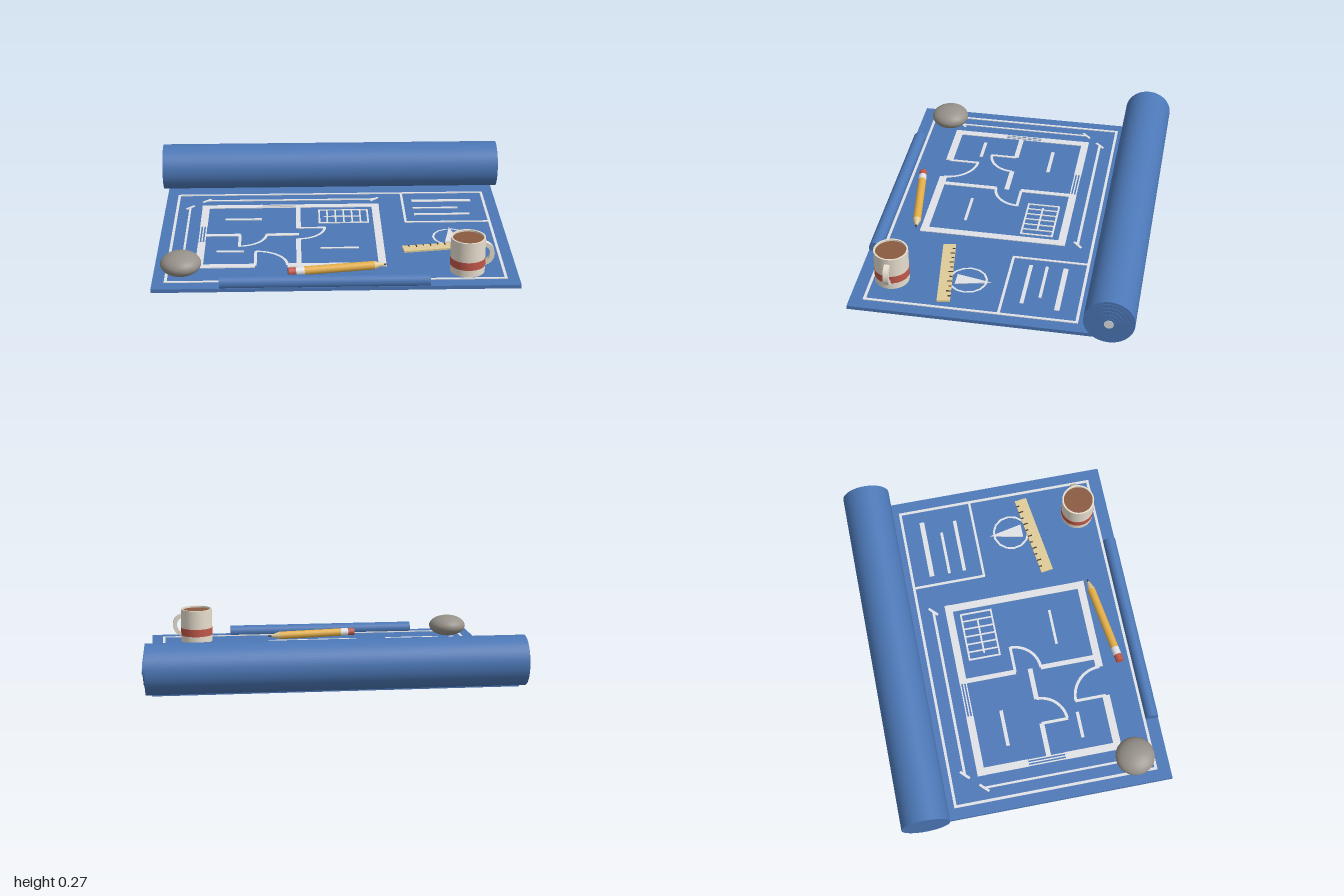
import * as THREE from 'three';

const mat = (name, color) => {
  const m = new THREE.MeshStandardMaterial({ color });
  m.name = name;
  return m;
};

export function createModel() {
  const blue = mat('blueprint blue', 0x4c78b7);
  const white = mat('line white', 0xeff1f6);
  const cream = mat('mug cream', 0xe9e0d0);
  const red = mat('red', 0xc0584a);
  const brown = mat('coffee brown', 0x8a5a40);
  const grey = mat('stone grey', 0x97928a);
  const yellow = mat('pencil yellow', 0xe3ae48);
  const tan = mat('wood tan', 0xe0cc98);
  const dark = mat('dark brown', 0x4a3a2c);

  const model = new THREE.Group();
  model.name = 'blueprint';
  const add = (name, geo, material, x = 0, y = 0, z = 0, parent = model) => {
    const m = new THREE.Mesh(geo, material);
    m.name = name;
    m.position.set(x, y, z);
    parent.add(m);
    return m;
  };
  const group = (name, x, y, z) => {
    const g = new THREE.Group();
    g.name = name;
    g.position.set(x, y, z);
    model.add(g);
    return g;
  };
  // cylinder lying along x, from x0 to x1 (r0 at x0, r1 at x1)
  const rod = (x0, x1, r0, r1 = r0, sides = 48) =>
    new THREE.CylinderGeometry(r1, r0, x1 - x0, sides).rotateZ(-Math.PI / 2).translate((x0 + x1) / 2, 0, 0);

  // Paper sheet, with its rolled back end and small curled front edge
  const TOP = 0.02;
  add('sheet', new THREE.BoxGeometry(1.92, TOP, 1.405), blue, -0.01, TOP / 2, 0.0525);
  const roll = group('paperRoll', 0, 0.136, -0.621);
  add('rollBody', rod(-1, 0.982, 0.1325, 0.1325, 64), blue, 0, 0, 0, roll);
  for (let i = 0; i < 5; i++) {
    add('rollLayer', rod(0.98, 0.985 + i * 0.003, 0.118 - i * 0.02), blue, 0, 0, 0, roll);
  }
  add('rollCore', rod(0.98, 1, 0.025, 0.025, 24), white, 0, 0, 0, roll);
  add('frontCurl', rod(-0.617, 0.478, 0.036, 0.036, 32), blue, 0, 0.038, 0.719);

  // Drawn lines: bars from (x0, z0) to (x1, z1) of width w
  const plan = group('floorPlan', 0, TOP, 0);
  const bar = (name, x0, z0, x1, z1, w = 0.015) => {
    const len = Math.hypot(x1 - x0, z1 - z0);
    const m = add(name, new THREE.BoxGeometry(len, 0.004, w), white, (x0 + x1) / 2, 0.002, (z0 + z1) / 2, plan);
    m.rotation.y = -Math.atan2(z1 - z0, x1 - x0);
  };
  const bars = (name, w, list) => list.forEach((b) => bar(name, ...b, w));
  const rect = (name, x0, z0, x1, z1, w) => bars(name, w, [
    [x0 - w / 2, z0, x1 + w / 2, z0], [x0 - w / 2, z1, x1 + w / 2, z1], [x0, z0, x0, z1], [x1, z0, x1, z1],
  ]);

  rect('border', -0.9, -0.445, 0.88, 0.677, 0.015);
  bars('titleBlock', 0.014, [[0.405, -0.445, 0.405, -0.03], [0.405, -0.035, 0.88, -0.035]]);
  bar('titleText', 0.46, -0.33, 0.805, -0.33, 0.028);
  bar('titleText', 0.46, -0.228, 0.72, -0.228, 0.016);
  bar('titleText', 0.46, -0.14, 0.78, -0.14, 0.02);

  bars('outerWall', 0.042, [
    [-0.757, -0.273, -0.41, -0.273], [-0.215, -0.273, 0.265, -0.273],
    [0.243, -0.29, 0.243, 0.52],
    [-0.757, 0.498, -0.436, 0.498], [-0.264, 0.498, 0.265, 0.498],
    [-0.735, -0.29, -0.735, -0.005], [-0.735, 0.203, -0.735, 0.515],
  ]);
  bars('innerWall', 0.027, [
    [-0.203, -0.273, -0.203, 0.03], [-0.203, 0.172, -0.203, 0.498],
    [-0.72, 0.112, -0.527, 0.112], [-0.382, 0.112, -0.2, 0.112],
  ]);
  for (const d of [-0.016, 0, 0.016]) {
    bar('window', -0.41, -0.273 + d, -0.215, -0.273 + d, 0.007);
    bar('window', -0.735 + d, -0.005, -0.735 + d, 0.203, 0.007);
  }

  // Doors: leaf plus quarter-circle swing
  const arc = (name, x, z, r, w, start, len, segs) => {
    const geo = new THREE.RingGeometry(r - w / 2, r + w / 2, segs, 1, start, len).rotateX(-Math.PI / 2);
    add(name, geo, white, x, 0.004, z, plan);
  };
  bars('doorLeaf', 0.016, [
    [-0.203, 0.027, -0.05, 0.027], [-0.527, 0.112, -0.527, 0.262], [-0.436, 0.498, -0.436, 0.322],
  ]);
  arc('doorSwing', -0.203, 0.027, 0.147, 0.016, -Math.PI / 2, Math.PI / 2, 12);
  arc('doorSwing', -0.527, 0.112, 0.146, 0.016, -Math.PI / 2, Math.PI / 2, 12);
  arc('doorSwing', -0.436, 0.498, 0.172, 0.016, 0, Math.PI / 2, 12);

  // Stairs and room labels
  rect('stairs', -0.083, -0.212, 0.193, -0.038, 0.01);
  for (let i = 0; i < 5; i++) bar('stairTread', -0.038 + i * 0.047, -0.212, -0.038 + i * 0.047, -0.038, 0.009);
  bar('stairArrow', -0.058, -0.123, 0.152, -0.123, 0.01);
  bar('roomLabel', -0.617, -0.096, -0.41, -0.096, 0.02);
  bar('roomLabel', -0.65, 0.32, -0.5, 0.32, 0.018);
  bar('roomLabel', -0.083, 0.29, 0.126, 0.29, 0.015);

  // Dimension lines with slanted end ticks
  bar('dimensionLine', -0.735, -0.362, 0.243, -0.362, 0.015);
  bar('dimensionLine', -0.826, -0.27, -0.826, 0.498, 0.012);
  for (const [x, z] of [[-0.735, -0.362], [0.243, -0.362], [-0.826, -0.27], [-0.826, 0.498]]) {
    bar('dimensionTick', x - 0.023, z + 0.023, x + 0.023, z - 0.023, 0.014);
  }

  // North arrow
  arc('compassRing', 0.642, 0.17, 0.1, 0.012, 0, Math.PI * 2, 14);
  const tri = new THREE.Shape([[-0.04, -0.235], [0.04, -0.235], [0, -0.045]].map((p) => new THREE.Vector2(...p)));
  add('northArrow', new THREE.ExtrudeGeometry(tri, { depth: 0.005, bevelEnabled: false }).rotateX(-Math.PI / 2),
    white, 0.642, 0, 0, plan);

  // Ruler
  const ruler = group('ruler', 0.6, TOP, 0.296);
  ruler.rotation.y = 0.135;
  add('rulerBody', new THREE.BoxGeometry(0.475, 0.01, 0.07), tan, 0, 0.006, 0, ruler);
  for (let i = 0; i < 11; i++) {
    const len = i % 2 ? 0.026 : 0.016;
    add('rulerTick', new THREE.BoxGeometry(0.007, 0.002, len), dark, -0.2 + i * 0.04, 0.0118, -0.035 + len / 2, ruler);
  }

  // Pencil
  const pencil = group('pencil', 0.002, TOP + 0.023, 0.579);
  pencil.rotation.y = 0.145;
  const pencilPart = (name, material, ...r) => add(name, rod(...r, 16), material, 0, 0, 0, pencil);
  pencilPart('eraser', red, -0.265, -0.225, 0.022, 0.022);
  pencilPart('ferrule', white, -0.225, -0.18, 0.023, 0.023);
  pencilPart('pencilBody', yellow, -0.18, 0.195, 0.023, 0.023);
  pencilPart('pencilWood', tan, 0.195, 0.247, 0.023, 0.006);
  pencilPart('pencilLead', dark, 0.247, 0.268, 0.006, 0.0005);

  // Mug: walls with open rim, coffee, band and handle
  const mug = group('mug', 0.687, TOP, 0.572);
  const ring = (r0, y0, r1, y1) => [new THREE.Vector2(r0, y0), new THREE.Vector2(r1, y1)];
  const walls = [ring(0, 0, 0.092, 0), ring(0.092, 0, 0.092, 0.194), ring(0.092, 0.194, 0.083, 0.194),
    ring(0.083, 0.194, 0.083, 0.17)];
  walls.forEach((p) => add('mugWall', new THREE.LatheGeometry(p, 40), cream, 0, 0, 0, mug));
  add('coffee', new THREE.CircleGeometry(0.0835, 40).rotateX(-Math.PI / 2), brown, 0, 0.184, 0, mug);
  add('mugBand', new THREE.CylinderGeometry(0.0935, 0.0935, 0.044, 40), red, 0, 0.061, 0, mug);
  const handle = new THREE.Shape().absellipse(0, 0, 0.06, 0.066, -Math.PI / 2, Math.PI / 2, false);
  handle.absellipse(0, 0, 0.036, 0.044, Math.PI / 2, -Math.PI / 2, true);
  add('mugHandle', new THREE.ExtrudeGeometry(handle, { depth: 0.03, bevelEnabled: false, curveSegments: 16 }),
    cream, 0.08, 0.099, -0.015, mug);

  // Stone paperweight
  add('stone', new THREE.SphereGeometry(1, 32, 20).scale(0.108, 0.06, 0.108), grey, -0.824, 0.079, 0.572);

  return model;
}
